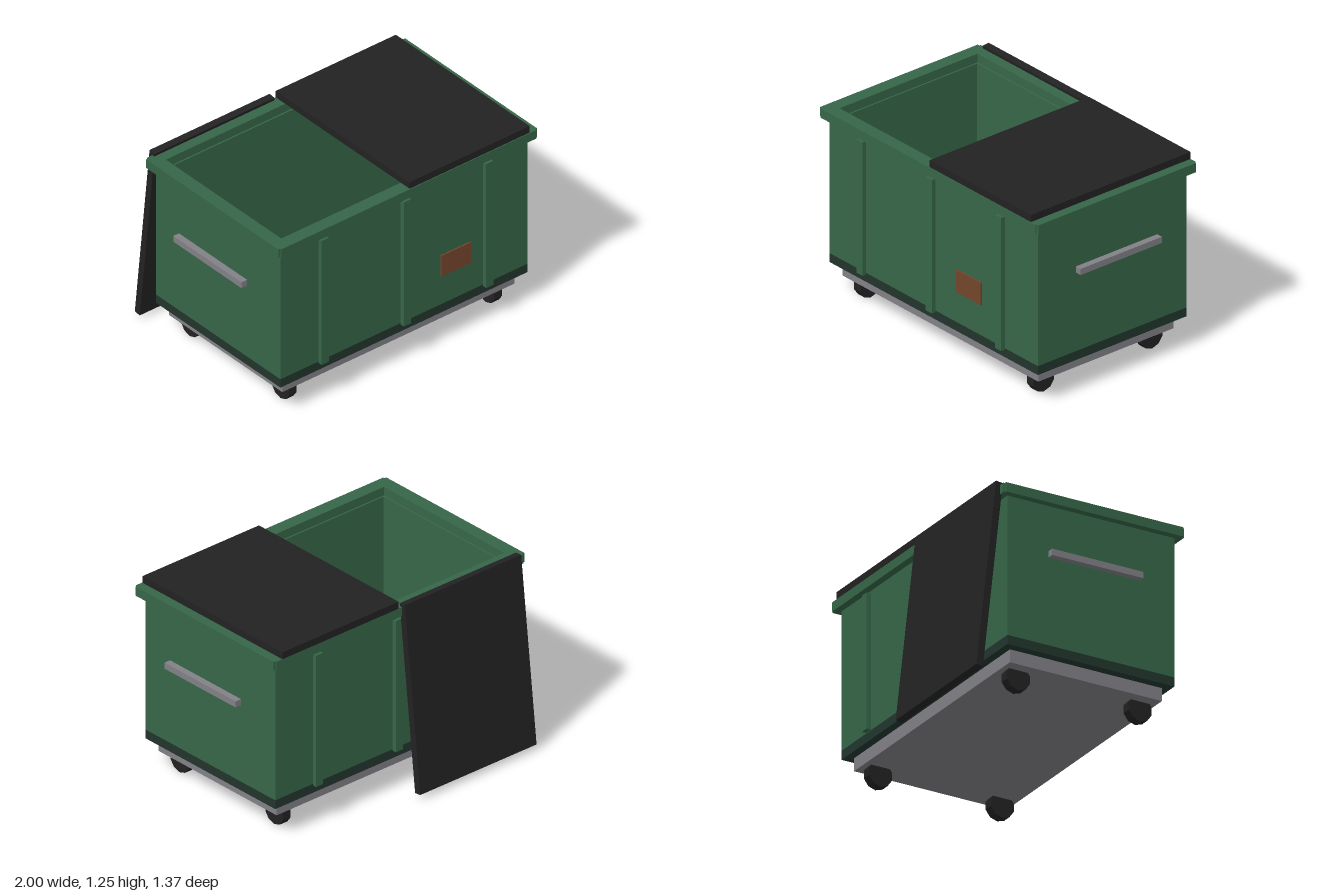
import * as THREE from 'three';

const material = (name, color) => {
  const m = new THREE.MeshStandardMaterial({ color });
  m.name = name;
  return m;
};

export function createModel() {
  const green = material('green paint', 0x366648);
  const darkGreen = material('dark green', 0x22352d);
  const black = material('black plastic', 0x222222);
  const grey = material('grey metal', 0x808086);
  const rust = material('rust', 0x74452c);

  const model = new THREE.Group();
  model.name = 'dumpster';

  // Box given by its limits on each axis
  const box = (name, mat, [x0, x1], [y0, y1], [z0, z1]) => {
    const mesh = new THREE.Mesh(new THREE.BoxGeometry(x1 - x0, y1 - y0, z1 - z0), mat);
    mesh.position.set((x0 + x1) / 2, (y0 + y1) / 2, (z0 + z1) / 2);
    mesh.name = name;
    model.add(mesh);
    return mesh;
  };
  // Limits mirrored to the other side of a centre
  const span = (side, a, b, c = 0) => (side > 0 ? [c + a, c + b] : [c - b, c - a]);
  const midZ = 0.08;

  // Underframe and floor
  box('underframe', grey, [-0.865, 0.865], [0.125, 0.207], [-0.43, 0.59]);
  box('floor', darkGreen, [-0.92, 0.92], [0.207, 0.265], [-0.48, 0.64]);

  for (const s of [1, -1]) {
    const end = s > 0 ? 'front' : 'back';
    const side = s > 0 ? 'left' : 'right';

    // Hollow body walls
    box(end + 'Wall', green, [-0.92, 0.92], [0.265, 1.15], span(s, 0.51, 0.56, midZ));
    box(side + 'Wall', green, span(s, 0.87, 0.92), [0.265, 1.15], [-0.43, 0.59]);

    // Rim rails, the end rails a little shorter than the overall width
    box(end + 'Rim', green, [-0.95, 0.95], [1.147, 1.206], span(s, 0.52, 0.605, midZ));
    box(side + 'Rim', green, span(s, 0.88, 0.965), [1.147, 1.206], [-0.515, 0.675]);

    // Upright ribs standing just off the wall
    for (const x of [-0.615, -0.003, 0.61]) {
      box(end + 'Rib', green, [x - 0.027, x + 0.027], [0.262, 1.125], span(s, 0.568, 0.596, midZ));
    }

    // Side handle bar
    box(side + 'Handle', grey, span(s, 0.958, 1), [0.8, 0.84], [-0.228, 0.385]);

    // Ten-sided wheels
    for (const z of [0.487, -0.33]) {
      const geo = new THREE.CylinderGeometry(0.081, 0.081, 0.058, 10, 1, false, Math.PI / 2);
      geo.rotateZ(-Math.PI / 2);
      const wheel = new THREE.Mesh(geo.toNonIndexed(), black);
      wheel.geometry.computeVertexNormals();
      wheel.position.set(s * 0.765, 0.081, z);
      wheel.name = 'wheel';
      model.add(wheel);
    }
  }

  // Rust patch on the front
  box('rustPatch', rust, [0.245, 0.465], [0.492, 0.637], [0.674, 0.683]);

  // Closed lid, and the other lid hanging open at the back
  box('closedLid', black, [0.01, 0.905], [1.206, 1.251], [-0.525, 0.68]);
  const openLid = box('openLid', black, [-0.91, -0.015], [0.03, 1.23], [-0.6165, -0.5715]);
  openLid.rotation.x = 0.111;

  return model;
}
